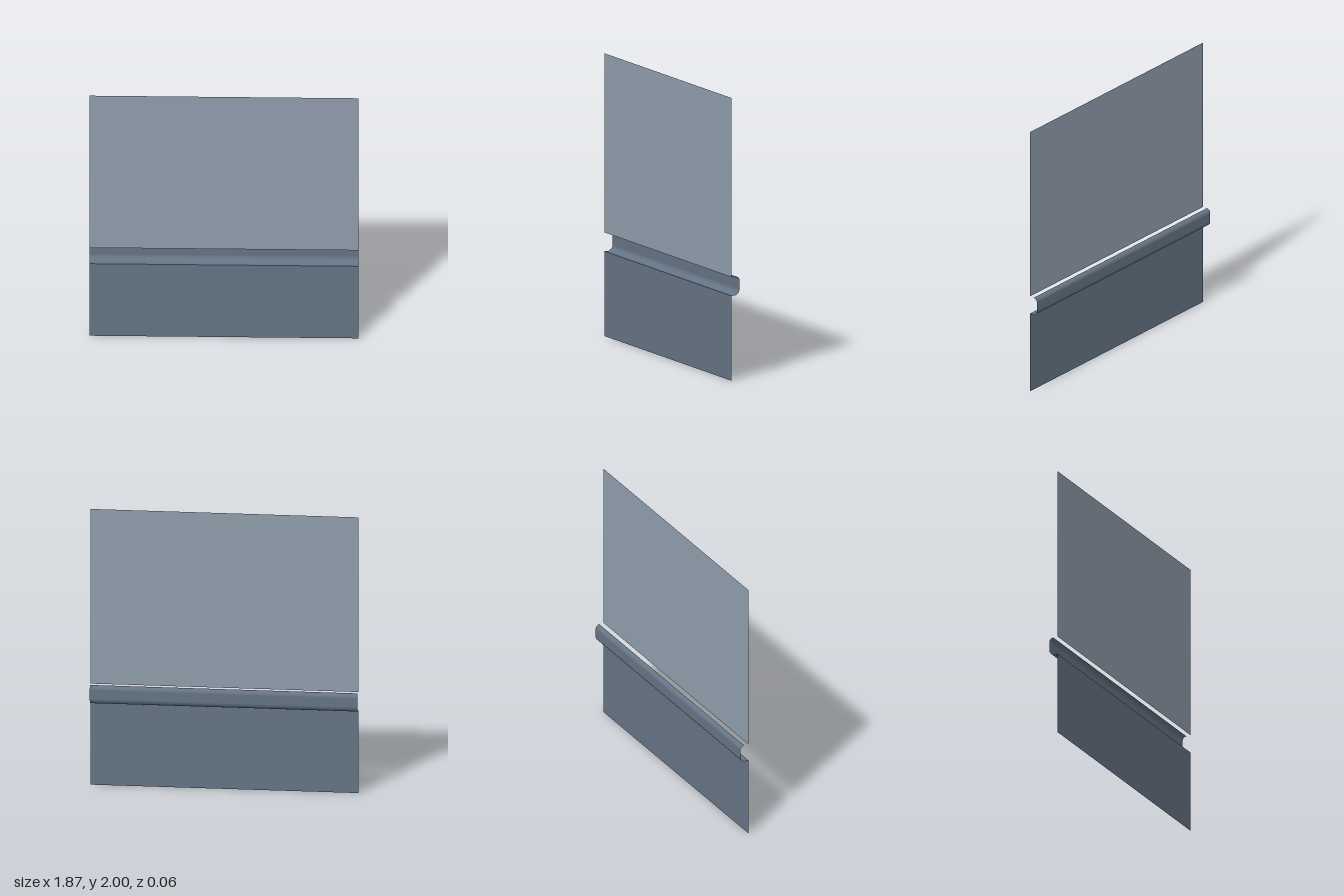
import * as THREE from 'three';

const WIDTH = 1.87;
const FRONT = 0.032, BACK = -0.032;   // depth of the sheets and of the channel floor
const TOP = 0.733, BOTTOM = 0.6;      // channel mouth

export function createModel() {
  const group = new THREE.Group();
  const upperPaint = new THREE.MeshStandardMaterial({ color: 0x919eae, side: THREE.DoubleSide });
  upperPaint.name = 'light slate';
  const lowerPaint = new THREE.MeshStandardMaterial({ color: 0x657485, side: THREE.DoubleSide });
  lowerPaint.name = 'dark slate';

  // Sweep a (z, y) profile, listed from top to bottom, across the width
  function strip(name, profile, material) {
    const geometry = new THREE.PlaneGeometry(WIDTH, 1, 1, profile.length - 1);
    const position = geometry.attributes.position;
    for (let i = 0; i < position.count; i++) {
      const p = profile[Math.floor(i / 2)];
      position.setY(i, p.y);
      position.setZ(i, p.x);
    }
    geometry.computeVertexNormals();
    const mesh = new THREE.Mesh(geometry, material);
    mesh.name = name;
    group.add(mesh);
  }

  const point = (z, y) => new THREE.Vector2(z, y);

  // Flat sheets above and below the channel
  strip('upperPanel', [point(FRONT, 2), point(FRONT, TOP)], upperPaint);
  strip('lowerPanel', [point(FRONT, BOTTOM), point(FRONT, 0)], lowerPaint);

  // Recessed channel with rounded inner corners
  const rTop = 0.03, rBottom = 0.042;
  const path = new THREE.Path();
  path.moveTo(FRONT, TOP);
  path.absarc(BACK + rTop, TOP - rTop, rTop, Math.PI / 2, Math.PI, false);
  path.absarc(BACK + rBottom, BOTTOM + rBottom, rBottom, Math.PI, Math.PI * 1.5, false);
  path.lineTo(FRONT, BOTTOM);
  strip('channel', path.getPoints(10), lowerPaint);

  return group;
}
